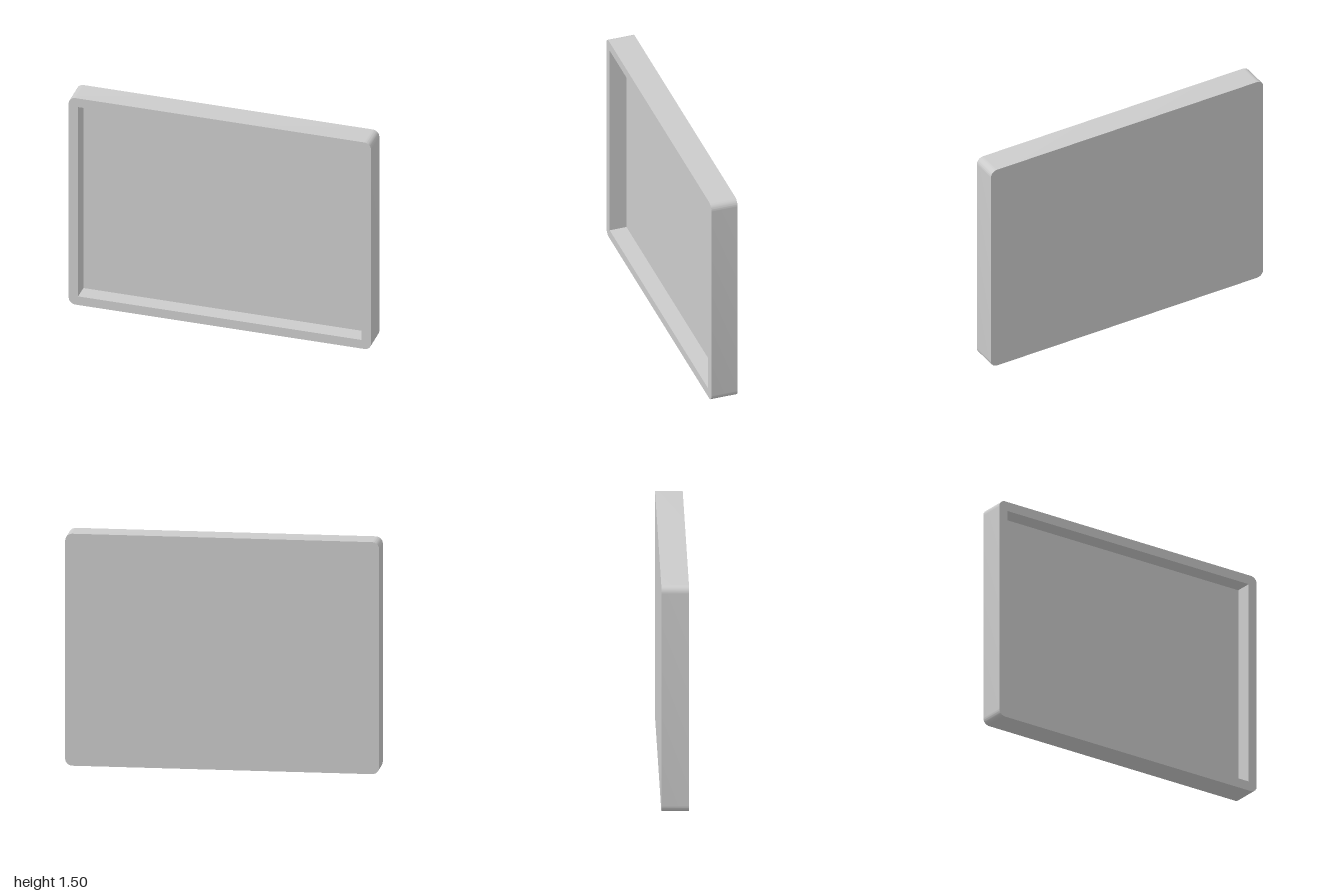
import * as THREE from 'three';
import { mergeGeometries, toCreasedNormals } from 'three/addons/utils/BufferGeometryUtils.js';

const WIDTH = 2, HEIGHT = 1.5, DEPTH = 0.175;
const RIM = 0.0625;      // rim width and back panel thickness
const RADIUS = 0.045;    // outer corner radius
const FRONT = DEPTH / 2, BACK = -DEPTH / 2, FLOOR = BACK + RIM;

// Counter-clockwise rectangle outline; radius 0 gives sharp corners
function outline(w, h, r, steps = 12) {
  const points = [];
  const corners = [[1, 1], [-1, 1], [-1, -1], [1, -1]];
  corners.forEach(([sx, sy], k) => {
    const n = r > 0 ? steps : 0;
    for (let i = 0; i <= n; i++) {
      const a = (k + (n ? i / n : 0)) * Math.PI / 2;
      points.push(new THREE.Vector2(
        sx * (w / 2 - r) + r * Math.cos(a),
        sy * (h / 2 - r) + r * Math.sin(a)));
    }
  });
  return points;
}

// Band of quads following a closed outline between two depths
function wall(points, z0, z1) {
  const position = [];
  points.forEach((p, i) => {
    const q = points[(i + 1) % points.length];
    position.push(p.x, p.y, z0, q.x, q.y, z0, q.x, q.y, z1);
    position.push(p.x, p.y, z0, q.x, q.y, z1, p.x, p.y, z1);
  });
  const geometry = new THREE.BufferGeometry();
  geometry.setAttribute('position', new THREE.Float32BufferAttribute(position, 3));
  return geometry;
}

// Flat face at one depth
function face(shape, z) {
  const geometry = new THREE.ShapeGeometry(shape).toNonIndexed();
  geometry.deleteAttribute('uv');
  geometry.deleteAttribute('normal');
  return geometry.translate(0, 0, z);
}

export function createModel() {
  const group = new THREE.Group();
  group.name = 'shallowTray';
  const material = new THREE.MeshStandardMaterial({ color: 0xcccccc });

  const outer = outline(WIDTH, HEIGHT, RADIUS);
  const inner = outline(WIDTH - 2 * RIM, HEIGHT - 2 * RIM, 0);
  const rim = new THREE.Shape(outer);
  rim.holes.push(new THREE.Path(inner));

  const add = (name, ...parts) => {
    const geometry = toCreasedNormals(mergeGeometries(parts), Math.PI / 5);
    const mesh = new THREE.Mesh(geometry, material);
    mesh.name = name;
    mesh.position.y = HEIGHT / 2;
    group.add(mesh);
  };

  // Rounded outside, closed back and front rim
  add('casing',
    wall(outer, BACK, FRONT),
    face(rim, FRONT),
    face(new THREE.Shape(outer), 0).rotateY(Math.PI).translate(0, 0, BACK));

  // Sharp-cornered pocket open to the front
  add('recess',
    wall([...inner].reverse(), FLOOR, FRONT),
    face(new THREE.Shape(inner), FLOOR));

  return group;
}
